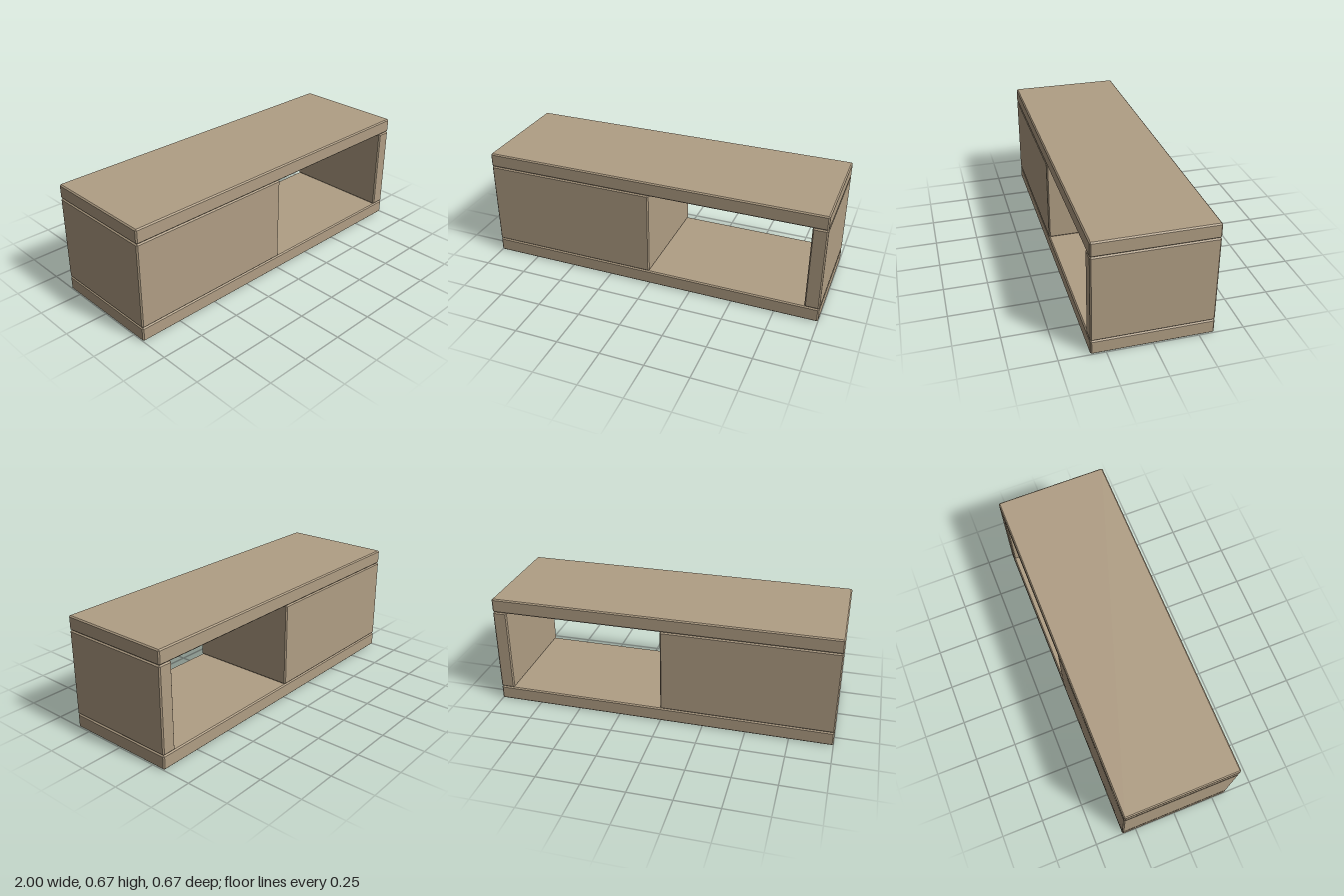
import * as THREE from 'three';
import { ConvexGeometry } from 'three/addons/geometries/ConvexGeometry.js';

const UNIT = 1 / 12; // board thickness
const BEVEL = 0.007;

// Box with every edge chamfered: three corner points at each of the eight corners
function chamferedBox(w, h, d) {
  const half = [w / 2, h / 2, d / 2];
  const points = [];
  for (const sx of [-1, 1]) for (const sy of [-1, 1]) for (const sz of [-1, 1]) {
    for (let outer = 0; outer < 3; outer++) {
      const [x, y, z] = half.map((v, axis) => (axis === outer ? v : v - BEVEL));
      points.push(new THREE.Vector3(sx * x, sy * y, sz * z));
    }
  }
  return new ConvexGeometry(points);
}

export function createModel() {
  const model = new THREE.Group();
  model.name = 'lowCabinet';
  const wood = new THREE.MeshStandardMaterial({ color: 0xb09e84 });
  wood.name = 'tan wood';

  // Adds a full-depth part spanning x0..x1 and y0..y1, in board thicknesses
  function addPart(name, x0, x1, y0, y1) {
    const mesh = new THREE.Mesh(chamferedBox((x1 - x0) * UNIT, (y1 - y0) * UNIT, 8 * UNIT), wood);
    mesh.name = name;
    mesh.position.set(((x0 + x1) / 2) * UNIT, ((y0 + y1) / 2) * UNIT, 0);
    model.add(mesh);
  }

  addPart('bottomBoard', -12, 12, 0, 1);
  addPart('topBoard', -12, 12, 7, 8);
  addPart('closedCompartment', -12, 0, 1, 7);
  addPart('endPanel', 11, 12, 1, 7);

  return model;
}
